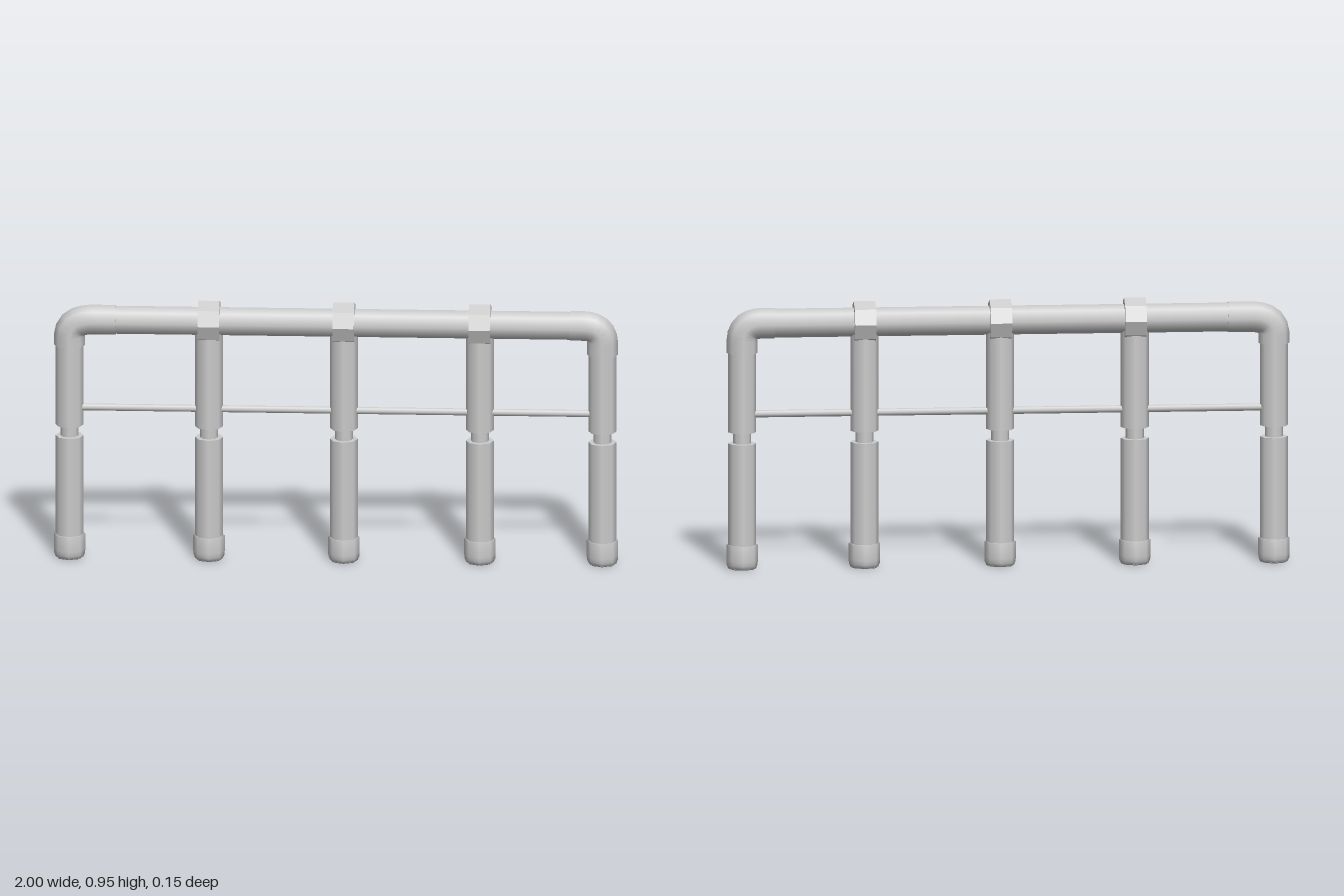
import * as THREE from 'three';

const SIDES = 8;
const RAIL_Y = 0.88;
const END_X = 0.944;
const material = new THREE.MeshStandardMaterial({ color: 0xcccccc });
const openMaterial = new THREE.MeshStandardMaterial({ color: 0xcccccc, side: THREE.DoubleSide });
const flatMaterial = new THREE.MeshStandardMaterial({ color: 0xcccccc, flatShading: true });

function add(parent, name, geometry, mat = material) {
  const mesh = new THREE.Mesh(geometry, mat);
  mesh.name = name;
  parent.add(mesh);
  return mesh;
}

// Upright cylinder between two heights
function upright(parent, name, radius, y0, y1) {
  const mesh = add(parent, name, new THREE.CylinderGeometry(radius, radius, y1 - y0, SIDES));
  mesh.position.y = (y0 + y1) / 2;
}

// Cylinder lying along x between two positions
function crossbar(parent, name, radius, x0, x1, y, mat) {
  const geometry = new THREE.CylinderGeometry(radius, radius, x1 - x0, SIDES).rotateZ(Math.PI / 2);
  const mesh = add(parent, name, geometry, mat);
  mesh.position.set((x0 + x1) / 2, y, 0);
}

// Lower leg, foot cap, narrow neck and upper leg
function makePost(x, top) {
  const post = new THREE.Group();
  post.name = 'post';
  post.position.x = x;
  upright(post, 'lowerLeg', 0.05, 0.002, 0.45);
  upright(post, 'neck', 0.032, 0.44, 0.5);
  upright(post, 'upperLeg', 0.05, 0.49, top);
  const profile = [[0, 0], [0.049, 0], [0.055, 0.014], [0.056, 0.03], [0.056, 0.085], [0.048, 0.086]];
  add(post, 'footCap', new THREE.LatheGeometry(profile.map(p => new THREE.Vector2(...p)), SIDES), openMaterial);
  return post;
}

// Bent sleeve joining an end post to the top rail
function makeElbow(side, bottomY, innerX, bend) {
  const elbow = new THREE.Group();
  elbow.name = side < 0 ? 'rightElbow' : 'leftElbow';
  const point = (x, y) => new THREE.Vector3(side * x, y, 0);
  const start = point(END_X, bottomY);
  const bendStart = point(END_X, 0.82);
  const bendEnd = point(END_X - bend, RAIL_Y);
  const end = point(innerX, RAIL_Y);
  const path = new THREE.CurvePath();
  path.add(new THREE.LineCurve3(start, bendStart));
  path.add(new THREE.QuadraticBezierCurve3(bendStart, point(END_X, RAIL_Y), bendEnd));
  path.add(new THREE.LineCurve3(bendEnd, end));
  add(elbow, 'elbowSleeve', new THREE.TubeGeometry(path, 12, 0.055, SIDES), openMaterial);
  // Lips closing the sleeve ends
  const lowerLip = add(elbow, 'sleeveLip', new THREE.CircleGeometry(0.055, SIDES), openMaterial);
  lowerLip.rotation.x = Math.PI / 2;
  lowerLip.position.copy(start);
  const innerLip = add(elbow, 'sleeveLip', new THREE.CircleGeometry(0.055, SIDES), openMaterial);
  innerLip.rotation.y = Math.PI / 2;
  innerLip.position.copy(end);
  return elbow;
}

export function createModel() {
  const model = new THREE.Group();
  model.name = 'railing';

  // End posts and corner elbows
  for (const side of [-1, 1]) model.add(makePost(side * END_X, 0.81));
  model.add(makeElbow(-1, 0.785, 0.78, 0.085));
  model.add(makeElbow(1, 0.775, 0.83, 0.07));

  // Middle posts with collars around the top rail
  for (const x of [-0.45, 0.028, 0.51]) {
    model.add(makePost(x, 0.86));
    crossbar(model, 'collar', 0.075, x - 0.038, x + 0.038, RAIL_Y, flatMaterial);
  }

  // Thick top rail and thin middle rod
  crossbar(model, 'topRail', 0.052, -0.82, 0.85, RAIL_Y);
  crossbar(model, 'middleRod', 0.013, -0.92, 0.92, 0.555);

  return model;
}
